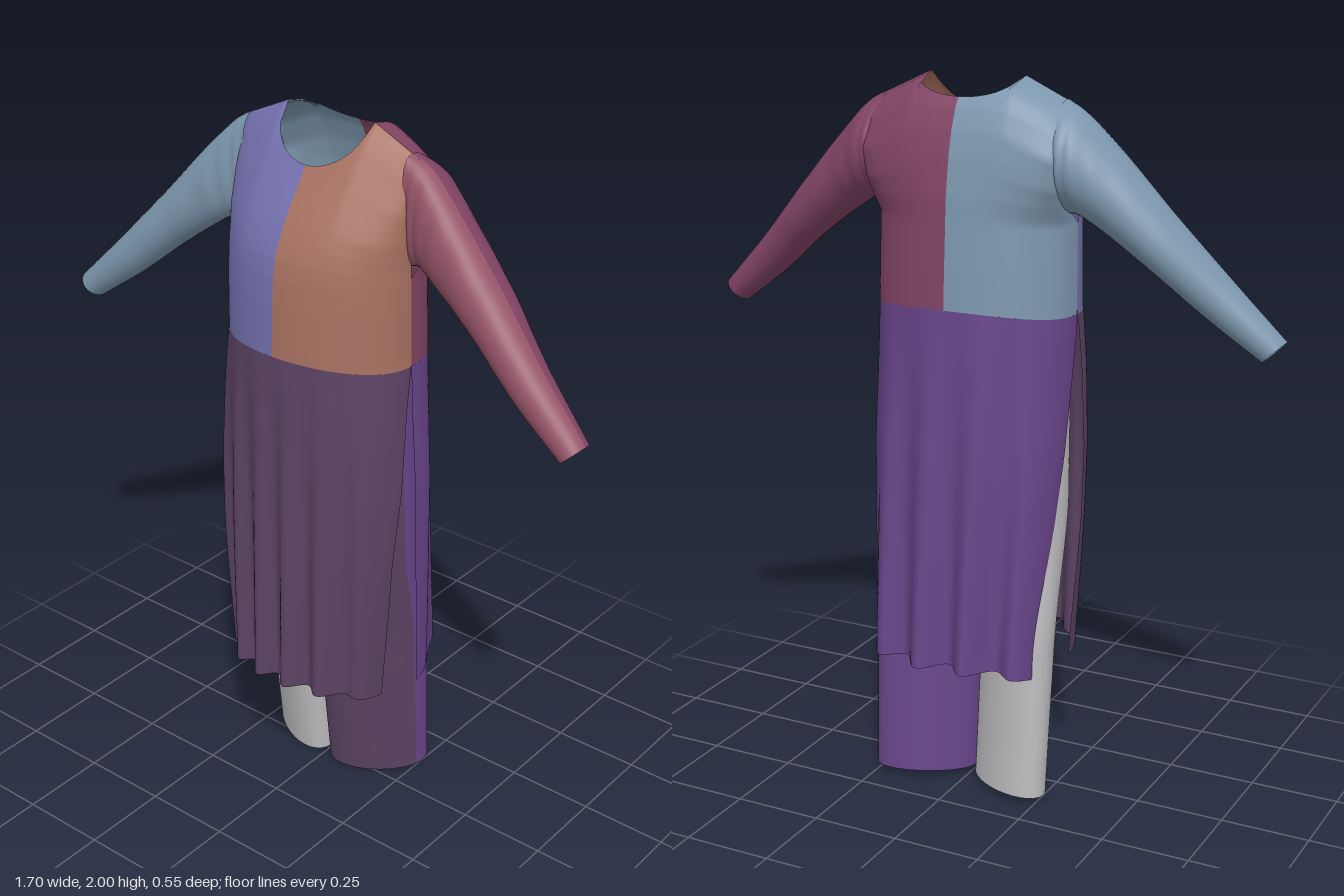
import * as THREE from 'three';
import { mergeVertices } from 'three/addons/utils/BufferGeometryUtils.js';

const material = (name, color) => {
  const m = new THREE.MeshStandardMaterial({ color, side: THREE.DoubleSide });
  m.name = name;
  return m;
};

// Piecewise-linear lookup in [[key, value], ...] with rising keys
function lookup(table, k) {
  if (k <= table[0][0]) return table[0][1];
  for (let i = 1; i < table.length; i++) {
    const [a, va] = table[i - 1], [b, vb] = table[i];
    if (k <= b) return va + (vb - va) * (k - a) / (b - a);
  }
  return table[table.length - 1][1];
}

// Cloth sheet: a grid of points given by f(u, v), u and v in 0..1
function sheet(name, mat, nu, nv, f) {
  const pos = [], index = [];
  for (let j = 0; j <= nv; j++) for (let i = 0; i <= nu; i++) pos.push(...f(i / nu, j / nv));
  for (let j = 0; j < nv; j++) for (let i = 0; i < nu; i++) {
    const a = j * (nu + 1) + i, b = a + 1, c = a + nu + 1, d = c + 1;
    index.push(a, b, d, a, d, c);
  }
  let geo = new THREE.BufferGeometry();
  geo.setAttribute('position', new THREE.Float32BufferAttribute(pos, 3));
  geo.setIndex(index);
  geo = mergeVertices(geo, 1e-5);
  geo.computeVertexNormals();
  const mesh = new THREE.Mesh(geo, mat);
  mesh.name = name;
  return mesh;
}

// Centre-line depth, side-edge depth (following the armhole) and half width by height;
// rightEdge and rightIn move the right-hand hem corner in z and x
const FRONT = {
  depth: [[0.38, 0.255], [0.8, 0.25], [1.2, 0.245], [1.4, 0.24], [1.55, 0.235], [1.62, 0.23], [1.67, 0.221],
    [1.71, 0.206], [1.75, 0.186], [1.8, 0.155], [1.9, 0.087], [1.95, 0.05], [1.985, 0.02], [2, -0.005]],
  edge: [[0.38, 0.095], [0.8, 0.09], [1.25, 0.04], [1.39, 0.015], [1.68, 0.02], [1.76, 0.04], [1.855, 0.04],
    [1.94, 0.02], [2, -0.005]],
  width: [[0.38, 0.265], [0.7, 0.285], [1, 0.298], [1.2, 0.293], [1.4, 0.284], [1.7, 0.28]],
  fold: [[0.38, 0.022], [1, 0.011], [1.4, 0]], pitch: 0.1, phase: 0.05, neckDrop: 0.115,
  round: 1, shift: 0, rightEdge: -0.035, rightIn: 0.012,
};
const BACK = {
  depth: [[0.38, -0.245], [0.7, -0.235], [1, -0.225], [1.3, -0.212], [1.5, -0.202], [1.7, -0.19], [1.8, -0.175],
    [1.87, -0.157], [1.93, -0.132], [1.97, -0.1], [1.99, -0.055], [2, -0.005]],
  edge: [[0.38, -0.02], [0.8, 0], [1.25, 0.015], [1.39, 0.015], [1.64, 0.02], [1.7, -0.05], [1.76, -0.105],
    [1.855, -0.13], [1.94, -0.09], [1.98, -0.04], [2, -0.005]],
  width: [[0.38, 0.28], [0.7, 0.288], [1, 0.294], [1.4, 0.284], [1.7, 0.28]],
  fold: [[0.38, 0.034], [1, 0.014], [1.4, 0]], pitch: 0.145, phase: -0.04, neckDrop: 0.05,
  round: 0.85, shift: 0.018, rightEdge: -0.11, rightIn: 0.025,
};
const NECK = 0.14;

// Point on a panel, t in -1..1 across it
function panelPoint(p, t, y) {
  const s = Math.sin(t * Math.PI / 2), c = Math.max(0, Math.cos(t * Math.PI / 2));
  const x = s * lookup(p.width, y);
  const level = y + 0.065 * Math.max(0, (Math.abs(x) - NECK) / NECK) * THREE.MathUtils.smoothstep(y, 1.5, 1.9);
  const low = THREE.MathUtils.clamp((1.35 - y) / 0.9, 0, 1), right = Math.max(0, -s) * low;
  const edge = lookup(p.edge, level) + p.rightEdge * right, depth = lookup(p.depth, level);
  const fold = lookup(p.fold, y) * Math.cos(2 * Math.PI * (x + p.phase) / p.pitch) * Math.sign(depth);
  const z = edge + (depth - edge) * Math.pow(c, p.round) + fold * Math.sqrt(c);
  return [x + p.shift * low + p.rightIn * right, y, z];
}
const waistY = t => 1.402 - 0.025 * Math.sin(t * Math.PI / 2) ** 2;

// Bodice top edge: scooped neckline, then sloping shoulder
function topY(p, t) {
  const x = Math.abs(0.28 * Math.sin(t * Math.PI / 2));
  return x < NECK ? 2 - p.neckDrop * Math.sqrt(Math.max(0, 1 - (x / NECK) ** 2)) : 2 - 0.065 * (x - NECK) / NECK;
}
const bodice = (name, mat, p, side) => sheet(name, mat, 30, 50, (u, v) => {
  const a = waistY(u), b = topY(p, u);
  return panelPoint(p, side * u, a + (b - a) * v);
});
const skirt = (name, mat, p) => sheet(name, mat, 120, 30, (u, v) => {
  const t = u * 2 - 1, hem = 0.4 - 0.028 * t * t;
  return panelPoint(p, t, hem + (waistY(t) - hem) * v);
});

// Sleeve half (face 1 front, -1 back) between an upper and a lower line, open at the cuff;
// the ridge and the underarm lean forward to meet the side seam
const curve = pts => new THREE.CatmullRomCurve3(pts.map(q => new THREE.Vector3(q[0], q[1], 0)));
const upper = curve([[0.258, 1.946], [0.31, 1.918], [0.4, 1.832], [0.55, 1.667], [0.7, 1.505], [0.85, 1.352]]);
const lower = curve([[0.27, 1.65], [0.3, 1.652], [0.36, 1.62], [0.5, 1.52], [0.645, 1.4], [0.79, 1.295]]);
const girth = curve([[-0.045, 0.085], [-0.04, 0.091], [-0.02, 0.09], [0.005, 0.083], [0.042, 0.063], [0.065, 0.045]]);
const sleeveHalf = (name, mat, side, face) => sheet(name, mat, 18, 50, (u, v) => {
  const k = 0.5 + 0.5 * Math.cos(u * Math.PI), s = Math.sin(u * Math.PI);
  const T = upper.getPoint(v), B = lower.getPoint(v), G = girth.getPoint(v);
  const wrinkle = 1 + 0.03 * (1 - v) * Math.sin(v * 45 + 3 * s * face) * s * s;
  const lean = 0.04 * (1 - v) ** 2 * (2 * k - 1) ** 2;
  return [side * (B.x + (T.x - B.x) * k), B.y + (T.y - B.y) * k, G.x + lean + face * G.y * s * wrinkle];
});

// Trousers: outward-turned leg ellipses that open into a shared, squarish hip above the crotch
const CROTCH = 0.85, OUTER = 0.75 * Math.PI, SEAM = 0.3, TURN = 0.54;
const LEG = {
  front: [[0, 0.035], [0.4, 0.085], [0.8, 0.12], [1.34, 0.15]],
  back: [[0, -0.17], [0.4, -0.15], [0.8, -0.165], [1.34, -0.165]],
  width: [[0, 0.257], [0.4, 0.263], [0.85, 0.274], [1.34, 0.265]],
};
function legPoint(side, a, y) {
  const f = lookup(LEG.front, y), b = lookup(LEG.back, y), w = lookup(LEG.width, y);
  const zc = (f + b) / 2, d = (f - b) / 2, k = THREE.MathUtils.smoothstep(y, 0.4, CROTCH);
  const lx = 0.005 + w / 2 * (1 + Math.cos(a)), lz = d * Math.sin(a - TURN);
  const h = Math.min(Math.abs(a) / OUTER, 1) * Math.PI / 2;
  const inner = Math.abs(a) > OUTER ? (Math.PI - Math.abs(a)) / (Math.PI - OUTER) : 1;
  const hx = w * Math.max(0, Math.cos(h)) ** 0.7, hz = Math.sign(a) * d * Math.sin(h) * inner;
  const tilt = y < 0.4 ? 0.02 * (1 - y / 0.4) * (0.5 - lz / d / 2) : 0;
  return [side * (lx + (hx - lx) * k), y + tilt, zc + lz + (hz - lz) * k];
}
function legHalf(name, mat, side, dir) {
  const g = new THREE.Group();
  g.name = name;
  g.add(
    sheet(name + 'Outer', mat, 30, 44, (u, v) => legPoint(side, SEAM + u * (dir * OUTER - SEAM), v * 1.34)),
    sheet(name + 'Inner', mat, 12, 30, (u, v) =>
      legPoint(side, dir * (OUTER + u * (Math.PI - OUTER)), v * CROTCH)),
  );
  return g;
}

export function createModel() {
  const periwinkle = material('periwinkle', 0x7471af);
  const terracotta = material('terracotta', 0xa77161);
  const slate = material('slate blue', 0x7c96ad);
  const rose = material('rose', 0x955467);
  const wine = material('wine', 0x824565);
  const plum = material('dark plum', 0x5b4364);
  const purple = material('purple', 0x68458a);
  const grey = material('light grey', 0xbcbbbe);

  const model = new THREE.Group();
  model.name = 'tunicAndTrousers';
  model.add(
    bodice('rightFrontBodice', periwinkle, FRONT, -1),
    bodice('leftFrontBodice', terracotta, FRONT, 1),
    bodice('rightBackBodice', slate, BACK, -1),
    bodice('leftBackBodice', wine, BACK, 1),
    sleeveHalf('rightSleeveFront', slate, -1, 1),
    sleeveHalf('rightSleeveBack', slate, -1, -1),
    sleeveHalf('leftSleeveFront', rose, 1, 1),
    sleeveHalf('leftSleeveBack', wine, 1, -1),
    skirt('frontSkirt', plum, FRONT),
    skirt('backSkirt', purple, BACK),
    legHalf('rightLegFront', grey, -1, 1),
    legHalf('rightLegBack', grey, -1, -1),
    legHalf('leftLegFront', plum, 1, 1),
    legHalf('leftLegBack', purple, 1, -1),
  );
  return model;
}
